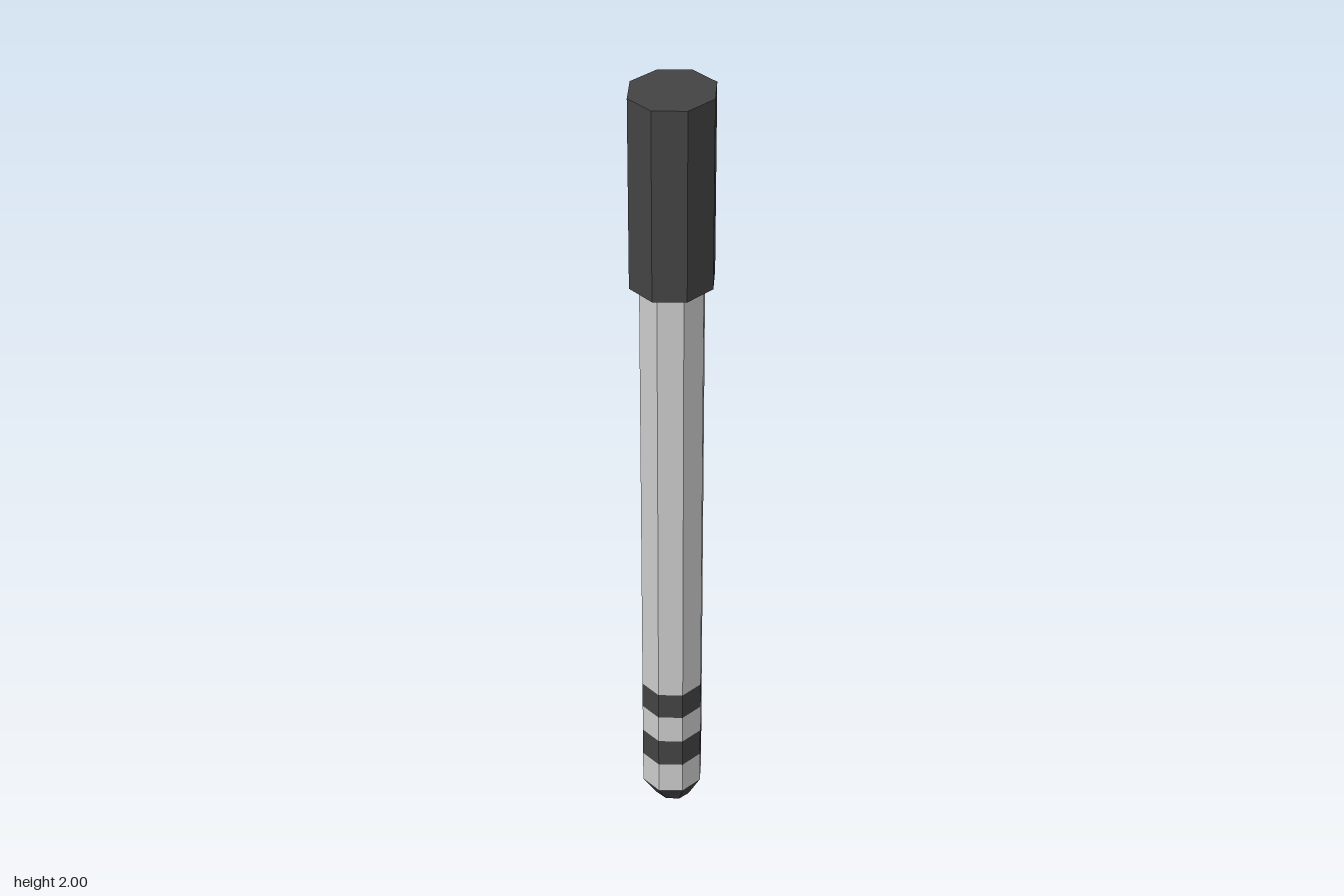
import * as THREE from 'three';

const dark = new THREE.MeshStandardMaterial({ color: 0x444444, flatShading: true });
const grey = new THREE.MeshStandardMaterial({ color: 0xcccccc, flatShading: true });

// Eight-sided section from y0 to y1 with [x, z] radii at the bottom and top
function section(name, material, y0, y1, bottom, top, open) {
  const geometry = new THREE.CylinderGeometry(1, 1, y1 - y0, 8, 1, open);
  const p = geometry.attributes.position;
  for (let i = 0; i < p.count; i++) {
    const [rx, rz] = p.getY(i) > 0 ? top : bottom;
    p.setX(i, p.getX(i) * rx);
    p.setZ(i, p.getZ(i) * rz);
  }
  geometry.translate(0, (y0 + y1) / 2, 0);
  geometry.computeVertexNormals();
  const mesh = new THREE.Mesh(geometry, material);
  mesh.name = name;
  return mesh;
}

export function createModel() {
  const group = new THREE.Group();
  group.name = 'baton';
  const shaft = [0.078, 0.082];
  const grip = [0.101, 0.108];

  // Tapered tip
  group.add(section('tip', dark, 0, 0.06, [0.046, 0.041], shaft, false));

  // Shaft with two flush dark bands
  const levels = [0.06, 0.148, 0.226, 0.304, 0.377, 1.53];
  for (let i = 0; i < levels.length - 1; i++) {
    const band = i % 2 === 1;
    group.add(section(band ? 'band' : 'shaft', band ? dark : grey, levels[i], levels[i + 1], shaft, shaft, true));
  }

  // Wider grip
  group.add(section('grip', dark, 1.53, 2, grip, grip, false));
  return group;
}
